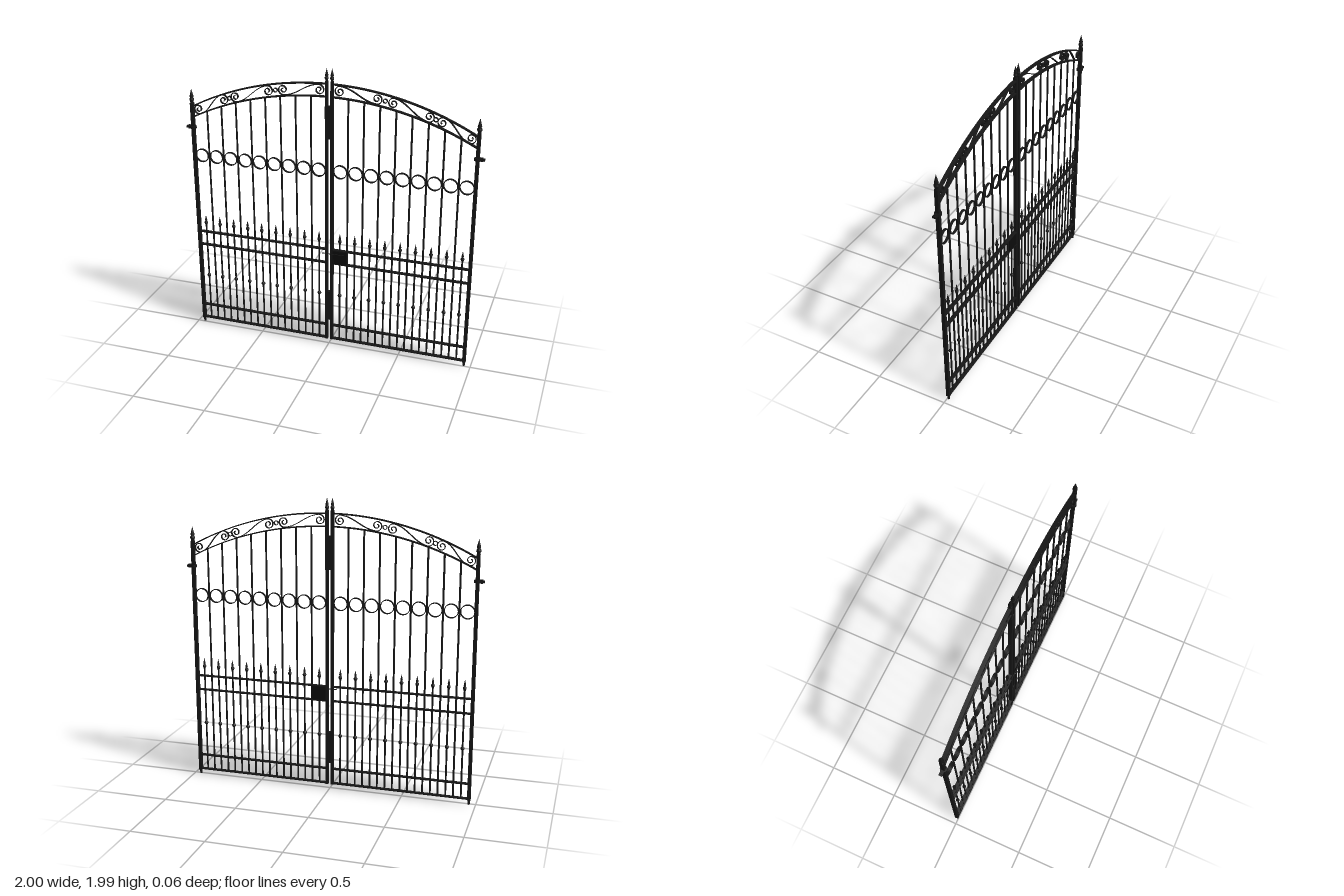
import * as THREE from 'three';

const Z = -0.009; // plane of the gate leaves
const DEPTH = 0.025; // depth of the flat bars

export function createModel() {
  const iron = new THREE.MeshStandardMaterial({ color: 0x161616 });
  iron.name = 'black iron';
  const lockBlack = new THREE.MeshStandardMaterial({ color: 0x0c0c0c });
  lockBlack.name = 'lock black';
  const gate = new THREE.Group();
  gate.name = 'doubleGate';

  const add = (parent, name, geo, x, y, z = Z, mat = iron) => {
    const m = new THREE.Mesh(geo, mat);
    m.name = name;
    m.position.set(x, y, z);
    parent.add(m);
  };
  const box = (w, h, d) => new THREE.BoxGeometry(w, h, d);
  const lathe = (pts, n = 10) => new THREE.LatheGeometry(pts.map(p => new THREE.Vector2(...p)), n);

  // Flat strip of metal following a line of points in the gate plane
  const ribbon = (pts, t, depth) => {
    const a = [], b = [];
    pts.forEach((p, i) => {
      const d = pts[Math.min(i + 1, pts.length - 1)].clone().sub(pts[Math.max(i - 1, 0)]).normalize();
      a.push(new THREE.Vector2(p.x - d.y * t / 2, p.y + d.x * t / 2));
      b.push(new THREE.Vector2(p.x + d.y * t / 2, p.y - d.x * t / 2));
    });
    const geo = new THREE.ExtrudeGeometry(new THREE.Shape([...a, ...b.reverse()]), { depth, bevelEnabled: false });
    return geo.translate(0, 0, -depth / 2);
  };

  const ring = (r, t, depth) => {
    const s = new THREE.Shape().absarc(0, 0, r, 0, Math.PI * 2, false);
    s.holes.push(new THREE.Path().absarc(0, 0, r - t, 0, Math.PI * 2, true));
    return new THREE.ExtrudeGeometry(s, { depth, bevelEnabled: false, curveSegments: 18 }).translate(0, 0, -depth / 2);
  };

  // Heights of the two arches
  const upper = x => Math.sqrt(1.984 ** 2 - x * x) - 0.1;
  const lower = x => Math.sqrt(2.06 ** 2 - x * x) - 0.26;
  const middle = x => (upper(x) + lower(x)) / 2;

  // S-scroll: a spiral at each end joined by a smooth diagonal
  const scrollPoints = (half, r) => {
    const pts = [];
    const turns = 1.5, n = 40;
    for (let i = 0; i <= n; i++) {
      const k = i / n, ang = -Math.PI / 2 - (1 - k) * turns * Math.PI * 2;
      const rad = r * (0.2 + 0.8 * k);
      pts.push(new THREE.Vector2(-half + Math.cos(ang) * rad, Math.sin(ang) * rad));
    }
    const stem = new THREE.CubicBezierCurve(
      new THREE.Vector2(-half, -r), new THREE.Vector2(-half * 0.2, -r),
      new THREE.Vector2(half * 0.2, r), new THREE.Vector2(half, r)).getPoints(16);
    const other = pts.map(p => p.clone().negate()).reverse();
    return [...pts, ...stem.slice(1, -1), ...other];
  };

  // Shared geometries
  const barFinial = lathe([[0.006, 0], [0.007, 0.008], [0.012, 0.018], [0.012, 0.026], [0.006, 0.034],
    [0.008, 0.042], [0.004, 0.062], [0, 0.08]]);
  const knot = lathe([[0.006, -0.014], [0.013, -0.004], [0.013, 0.004], [0.006, 0.014]]);
  const postFinial = lathe([[0.011, 0], [0.011, 0.012], [0.016, 0.019], [0.016, 0.029], [0.01, 0.036],
    [0.014, 0.044], [0.007, 0.07], [0, 0.098]], 12);
  const slimFinial = postFinial.clone().scale(0.8, 0.85, 0.8);
  const circle = ring(0.047, 0.005, 0.016);
  const bead = ring(0.015, 0.004, 0.014);
  const shortBar = new THREE.CylinderGeometry(0.0062, 0.0062, 0.74, 8);

  for (const s of [1, -1]) {
    const leaf = new THREE.Group();
    leaf.name = s > 0 ? 'leftLeaf' : 'rightLeaf';
    gate.add(leaf);

    // Hinge post with pivot foot and finial
    add(leaf, 'hingePost', box(0.022, 1.635, 0.024), s * 0.955, 0.8475);
    add(leaf, 'pivotPin', new THREE.CylinderGeometry(0.009, 0.007, 0.03, 12), s * 0.955, 0.015);
    add(leaf, 'hingePostFinial', postFinial, s * 0.955, 1.665);

    // Meeting post
    add(leaf, 'meetingPost', box(0.018, 1.87, 0.024), s * 0.018, 0.968);
    add(leaf, 'meetingPostFinial', slimFinial, s * 0.018, 1.902);

    // Upper hinge
    add(leaf, 'hingeCollar', new THREE.CylinderGeometry(0.022, 0.022, 0.017, 16), s * 0.955, 1.497);
    add(leaf, 'hingeArm', box(0.045, 0.014, 0.022), s * 0.9775, 1.497);
    add(leaf, 'hingeEye', new THREE.CylinderGeometry(0.009, 0.009, 0.024, 12), s * 0.982, 1.497);

    // Horizontal rails
    for (const y of [0.04, 0.145, 0.63, 0.73]) {
      add(leaf, 'rail', box(0.926, 0.008, DEPTH), s * 0.486, y);
    }

    // Arched top bars
    for (const [name, f] of [['upperArch', upper], ['lowerArch', lower]]) {
      const pts = [];
      for (let i = 0; i <= 32; i++) {
        const x = 0.02 + 0.935 * i / 32;
        pts.push(new THREE.Vector2(s * x, f(x)));
      }
      add(leaf, name, ribbon(pts, 0.007, DEPTH), 0, 0);
    }

    // Tall bars up to the lower arch
    for (let i = 0; i < 8; i++) {
      const x = 0.124 + 0.1035 * i, h = lower(x) - 0.04;
      add(leaf, 'tallBar', new THREE.CylinderGeometry(0.0065, 0.0065, h, 8), s * x, 0.04 + h / 2);
    }

    // Rings and short spear-topped bars between the tall ones
    for (let i = 0; i < 9; i++) {
      const x = s * (0.073 + 0.1035 * i);
      add(leaf, 'ring', circle, x, 1.299);
      add(leaf, 'shortBar', shortBar, x, 0.41);
      add(leaf, 'spearFinial', barFinial, x, 0.777);
      add(leaf, 'barKnot', knot, x, 0.387);
    }

    // Scrollwork between the arches
    for (const [x0, x1] of [[0.068, 0.31], [0.414, 0.643], [0.726, 0.908]]) {
      const y0 = middle(x0), y1 = middle(x1);
      const cx = (x0 + x1) / 2, cy = (y0 + y1) / 2;
      const tilt = Math.atan2(y0 - y1, x1 - x0);
      const pts = scrollPoints(Math.hypot(x1 - x0, y1 - y0) / 2, 0.035).map(p => {
        p.rotateAround(new THREE.Vector2(), tilt);
        return new THREE.Vector2(s * (cx - p.x), cy + p.y);
      });
      add(leaf, 'scroll', ribbon(pts, 0.0045, 0.016), 0, 0);
    }
    for (const x of [0.362, 0.684]) add(leaf, 'scrollBead', bead, s * x, middle(x));
  }

  // Cover plates over the gap between the leaves
  for (const y of [0.3, 1.63]) {
    add(gate, 'coverPlate', box(0.054, 0.22, 0.025), 0, y, Z + 0.001);
  }

  // Lock case, latch bar, handle and key ring
  const lock = new THREE.Group();
  lock.name = 'lock';
  gate.add(lock);
  add(lock, 'lockCase', box(0.1, 0.105, 0.024), 0.073, 0.68, Z, lockBlack);
  add(lock, 'lockFace', box(0.088, 0.093, 0.003), 0.073, 0.68, 0.004, lockBlack);
  add(lock, 'latchBar', new THREE.CylinderGeometry(0.003, 0.003, 0.155, 8).rotateZ(Math.PI / 2), 0.033, 0.706, 0.01, lockBlack);
  add(lock, 'handleStem', new THREE.CylinderGeometry(0.003, 0.003, 0.018, 8).rotateX(Math.PI / 2), 0.036, 0.706, 0.009, lockBlack);
  add(lock, 'keyRing', new THREE.TorusGeometry(0.012, 0.002, 6, 16).rotateY(Math.PI / 2), 0.036, 0.657, 0.017, lockBlack);

  return gate;
}
